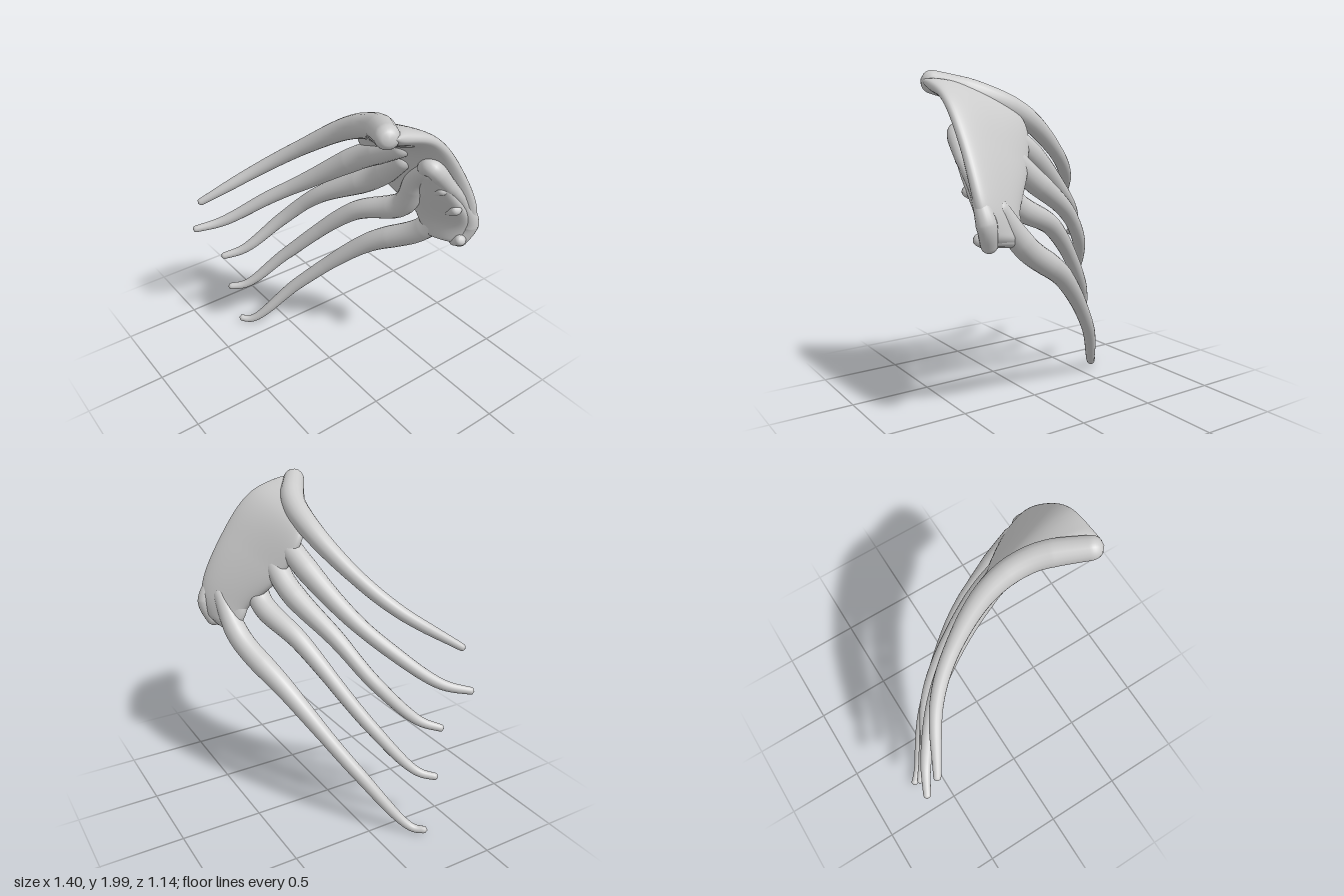
import * as THREE from 'three';
import { mergeVertices } from 'three/addons/utils/BufferGeometryUtils.js';

const material = new THREE.MeshStandardMaterial({ color: 0xcccccc });
const curveOf = (pts) => new THREE.CatmullRomCurve3(pts.map((p) => new THREE.Vector3(...p)), false, 'centripetal');

// Drop seams so the normals run smoothly all round
function smooth(geometry) {
  geometry.deleteAttribute('normal');
  geometry.deleteAttribute('uv');
  const merged = mergeVertices(geometry, 1e-5);
  merged.computeVertexNormals();
  return merged;
}

function part(name, geometry) {
  const mesh = new THREE.Mesh(geometry, material);
  mesh.name = name;
  return mesh;
}

// Round-ended limb along a path; the radii are spread evenly over its length
function limb(pts, radii, steps = 180, sides = 18) {
  const curve = curveOf(pts);
  const length = curve.getLength();
  const geo = new THREE.TubeGeometry(curve, steps, 1, sides);
  const pos = geo.attributes.position;
  const v = new THREE.Vector3();
  for (let i = 0; i <= steps; i++) {
    const u = i / steps;
    const k = Math.min(Math.floor(u * (radii.length - 1)), radii.length - 2);
    let r = THREE.MathUtils.lerp(radii[k], radii[k + 1], u * (radii.length - 1) - k);
    const end = Math.min(1, Math.min(u, 1 - u) * length / r);
    r *= Math.sqrt(1 - (1 - end) ** 2);
    const c = curve.getPointAt(u);
    for (let j = 0; j <= sides; j++) {
      const n = i * (sides + 1) + j;
      v.fromBufferAttribute(pos, n).sub(c).multiplyScalar(r).add(c);
      pos.setXYZ(n, v.x, v.y, v.z);
    }
  }
  return smooth(geo);
}

// Thick curved sheet spanned between two edge curves, with rounded rims
function sheet(leftPts, rightPts, half, rows = 64, sides = 48) {
  const left = curveOf(leftPts), right = curveOf(rightPts);
  const pos = [], index = [];
  for (let i = 0; i <= rows; i++) {
    const v = i / rows;
    const a = left.getPoint(v), b = right.getPoint(v);
    const across = b.clone().sub(a).multiplyScalar(0.5);
    const mid = a.clone().add(b).multiplyScalar(0.5);
    const down = left.getTangent(v).add(right.getTangent(v));
    const back = across.clone().cross(down).normalize();
    const end = Math.min(1, Math.min(v, 1 - v) * 12);
    const thick = half * Math.sqrt(1 - (1 - end) ** 2);
    for (let j = 0; j < sides; j++) {
      const t = j / sides * Math.PI * 2;
      const c = Math.cos(t), s = Math.sin(t);
      const u = Math.sign(c) * Math.abs(c) ** 0.8;
      const w = Math.sign(s) * Math.abs(s) ** 0.8;
      const p = mid.clone().addScaledVector(across, u).addScaledVector(back, w * thick);
      pos.push(p.x, p.y, p.z);
      if (i < rows) {
        const k = (j + 1) % sides, r = i * sides, q = r + sides;
        index.push(r + j, q + j, r + k, r + k, q + j, q + k);
      }
    }
  }
  const geo = new THREE.BufferGeometry();
  geo.setAttribute('position', new THREE.Float32BufferAttribute(pos, 3));
  geo.setIndex(index);
  return smooth(geo);
}

// Five fingers, top to bottom, each from its tip to the ridge it leaves in the palm
const fingerRadii = [0.021, 0.034, 0.041, 0.046, 0.057, 0.07, 0.07, 0.05];
const thumbRadii = [0.021, 0.034, 0.041, 0.046, 0.058, 0.07, 0.074, 0.062];
const fingers = [
  [[-0.605, 1.135, 0.555], [-0.4, 1.36, 0.23], [-0.2, 1.53, 0.07], [0.1, 1.74, -0.045], [0.35, 1.85, -0.03], [0.66, 1.95, 0.14]],
  [[-0.695, 0.9, 0.57], [-0.6, 0.95, 0.4], [-0.4, 1.14, 0.17], [-0.2, 1.3, 0.03], [0.15, 1.57, -0.11], [0.5, 1.77, -0.13]],
  [[-0.63, 0.665, 0.42], [-0.55, 0.72, 0.29], [-0.4, 0.95, 0.08], [-0.2, 1.17, -0.05], [0.17, 1.42, -0.185], [0.45, 1.67, -0.185]],
  [[-0.67, 0.37, 0.37], [-0.59, 0.4, 0.27], [-0.4, 0.67, 0.06], [0, 1.11, -0.18], [0.33, 1.29, -0.28], [0.47, 1.54, -0.25], [0.62, 1.67, -0.21]],
  [[-0.7, 0.035, 0.29], [-0.63, 0.04, 0.22], [-0.4, 0.385, -0.03], [0, 0.83, -0.29], [0.35, 1.07, -0.42], [0.56, 1.33, -0.45]],
];

export function createModel() {
  const model = new THREE.Group();
  model.name = 'webbedHand';
  fingers.forEach((path, i) => model.add(part('finger' + (i + 1), limb(path, i ? fingerRadii : thumbRadii))));

  // Curved palm plate carrying the finger bases
  model.add(part('palm', sheet(
    [[0.3, 1.85, -0.01], [0.14, 1.7, -0.09], [0.2, 1.46, -0.21], [0.37, 1.22, -0.37], [0.4, 1.08, -0.43]],
    [[0.67, 1.945, 0.11], [0.685, 1.86, -0.15], [0.69, 1.63, -0.35], [0.685, 1.3, -0.51], [0.63, 1.12, -0.49]],
    0.055)));

  // Fold on the palm's front, running from the fourth finger to the wrist
  model.add(part('palmFold', sheet(
    [[0.5, 1.64, -0.22], [0.43, 1.47, -0.27], [0.36, 1.22, -0.37], [0.4, 1.07, -0.43]],
    [[0.66, 1.68, -0.19], [0.68, 1.49, -0.33], [0.67, 1.26, -0.48], [0.62, 1.1, -0.47]],
    0.05)));

  // Rolled rim on the wrist edge of the fold
  model.add(part('wristRim', limb(
    [[0.53, 1.62, -0.23], [0.62, 1.675, -0.195], [0.65, 1.56, -0.29], [0.65, 1.42, -0.41], [0.64, 1.23, -0.51], [0.595, 1.075, -0.465]],
    [0.05, 0.05, 0.038, 0.036, 0.055, 0.042])));

  // Small knobs along the inner wrist
  [[0.615, 1.51, -0.27], [0.635, 1.36, -0.37], [0.62, 1.12, -0.45]].forEach(([x, y, z], i) => {
    const path = [[x - 0.055, y - 0.035, z - 0.01], [x + 0.05, y + 0.04, z + 0.01]];
    model.add(part('wristKnob' + (i + 1), limb(path, [0.025, 0.036], 24, 12)));
  });
  return model;
}
